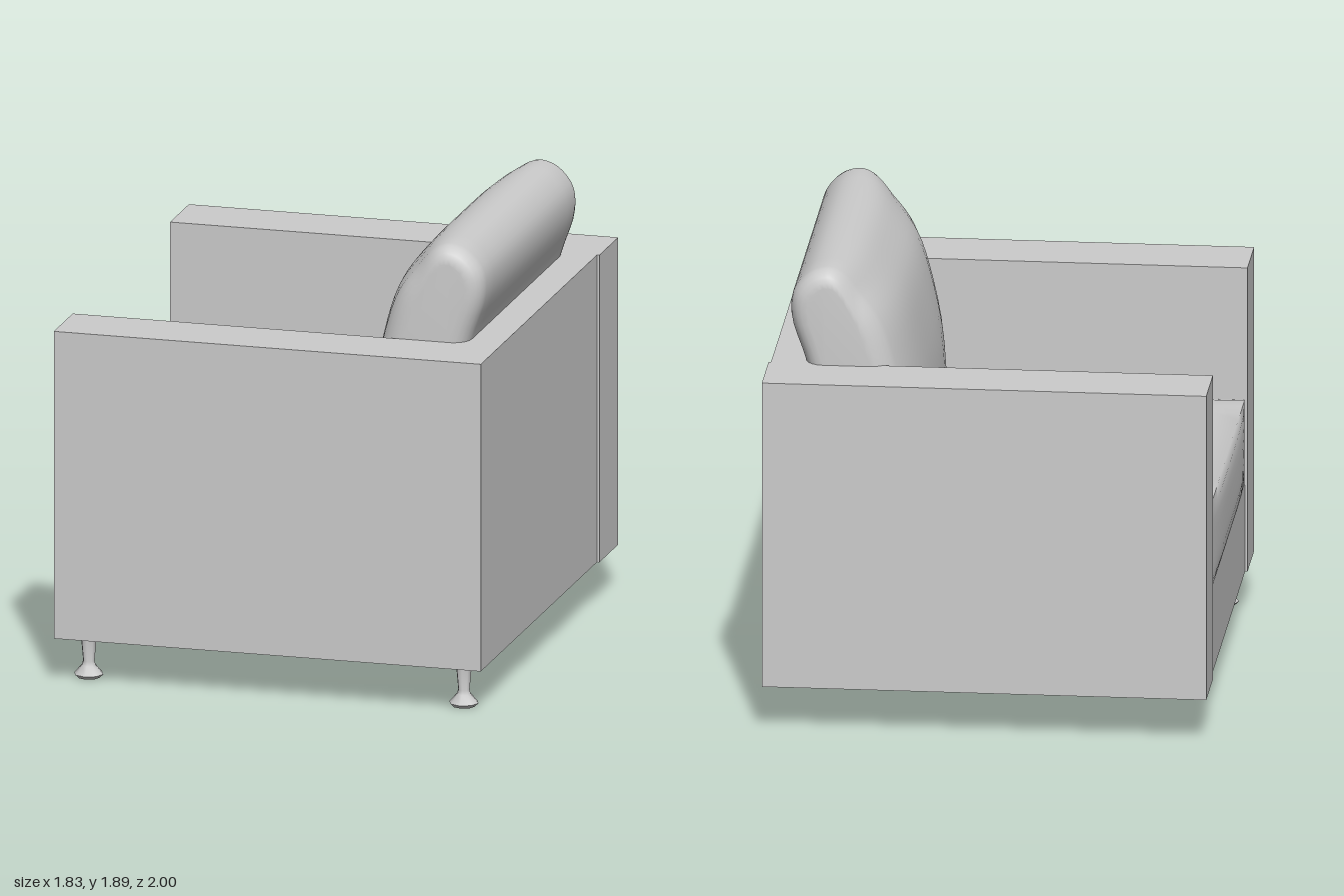
import * as THREE from 'three';
import { toCreasedNormals } from 'three/addons/utils/BufferGeometryUtils.js';

const grey = new THREE.MeshStandardMaterial({ color: 0xcccccc });

export function createModel() {
  const model = new THREE.Group();

  function add(name, geometry) {
    const mesh = new THREE.Mesh(geometry, grey);
    mesh.name = name;
    model.add(mesh);
    return mesh;
  }

  // Box given by its lower and upper corners
  function block(name, [x0, y0, z0], [x1, y1, z1]) {
    const mesh = add(name, new THREE.BoxGeometry(x1 - x0, y1 - y0, z1 - z0));
    mesh.position.set((x0 + x1) / 2, (y0 + y1) / 2, (z0 + z1) / 2);
  }

  // Moves every vertex by a rule
  function warp(geometry, rule) {
    const pos = geometry.attributes.position;
    const v = new THREE.Vector3();
    for (let i = 0; i < pos.count; i++) {
      rule(v.fromBufferAttribute(pos, i));
      pos.setXYZ(i, v.x, v.y, v.z);
    }
    return toCreasedNormals(geometry, 0.9);
  }

  // Frame: the seat opens toward -x
  block('leftArm', [-0.91, 0.19, 0.72], [0.9, 1.49, 1]);
  block('rightArm', [-0.91, 0.19, -1], [0.91, 1.49, -0.72]);
  block('backPanel', [0.71, 0.19, -0.72], [0.9, 1.49, 0.72]);
  block('seatBase', [-0.9, 0.19, -0.72], [0.71, 0.56, 0.72]);

  // Seat cushion: slightly crowned on top and bulging at the front
  const w = 1.6, h = 0.39, d = 1.43, r = 0.03;
  const seat = warp(new THREE.BoxGeometry(w, h, d, 16, 8, 16), (v) => {
    const u = (2 * v.x) / w, t = (2 * v.y) / h, s = (2 * v.z) / d;
    // round the upper edges
    if (t > 0.99) {
      v.y -= r * Math.max(u ** 16, s ** 16) * 0.7;
      v.y += 0.04 * (1 - u ** 4) * (1 - s ** 4);
    }
    if (u < -0.99) v.x -= 0.02 * (1 - t ** 4) * (1 - s ** 4);
  });
  add('seatCushion', seat).position.set(-0.1, 0.56 + h / 2, -0.01);

  // Back cushion: leaning profile with a round top, pinched toward both ends
  const profile = [
    [0.31, 0.94], [0.6, 0.94], [0.69, 1.2], [0.76, 1.49], [0.82, 1.68],
    [0.81, 1.79], [0.74, 1.87], [0.66, 1.89], [0.57, 1.865], [0.48, 1.78],
    [0.4, 1.67], [0.34, 1.49], [0.29, 1.2],
  ].map(([x, y]) => new THREE.Vector2(x, y));
  const outline = new THREE.CatmullRomCurve3(
    profile.map((p) => new THREE.Vector3(p.x, p.y, 0)), true);
  const shape = new THREE.Shape(
    outline.getPoints(48).slice(0, -1).map((p) => new THREE.Vector2(p.x, p.y)));
  const pillow = new THREE.ExtrudeGeometry(shape, {
    depth: 1.3, steps: 12, bevelEnabled: true, bevelThickness: 0.08,
    bevelSize: 0.07, bevelOffset: -0.07, bevelSegments: 5,
  });
  pillow.translate(0, 0, -0.66);
  add('backCushion', warp(pillow, (v) => {
    const middle = 0.46 + 0.24 * (v.y - 0.94);
    const front = THREE.MathUtils.clamp((middle - v.x) / 0.18, 0, 1);
    v.x += 0.08 * front * Math.min(1, Math.abs(v.z / 0.72)) ** 4;
  }));

  // Turned legs under the left arm
  const legProfile = [
    [0, 0], [0.045, 0], [0.062, 0.016], [0.03, 0.052], [0.024, 0.07], [0.035, 0.19],
  ].map(([x, y]) => new THREE.Vector2(x, y));
  for (const [name, x] of [['frontLeg', -0.8], ['backLeg', 0.79]]) {
    const leg = add(name, toCreasedNormals(new THREE.LatheGeometry(legProfile, 8), 0.9));
    leg.position.set(x, 0, 0.865);
  }

  return model;
}
